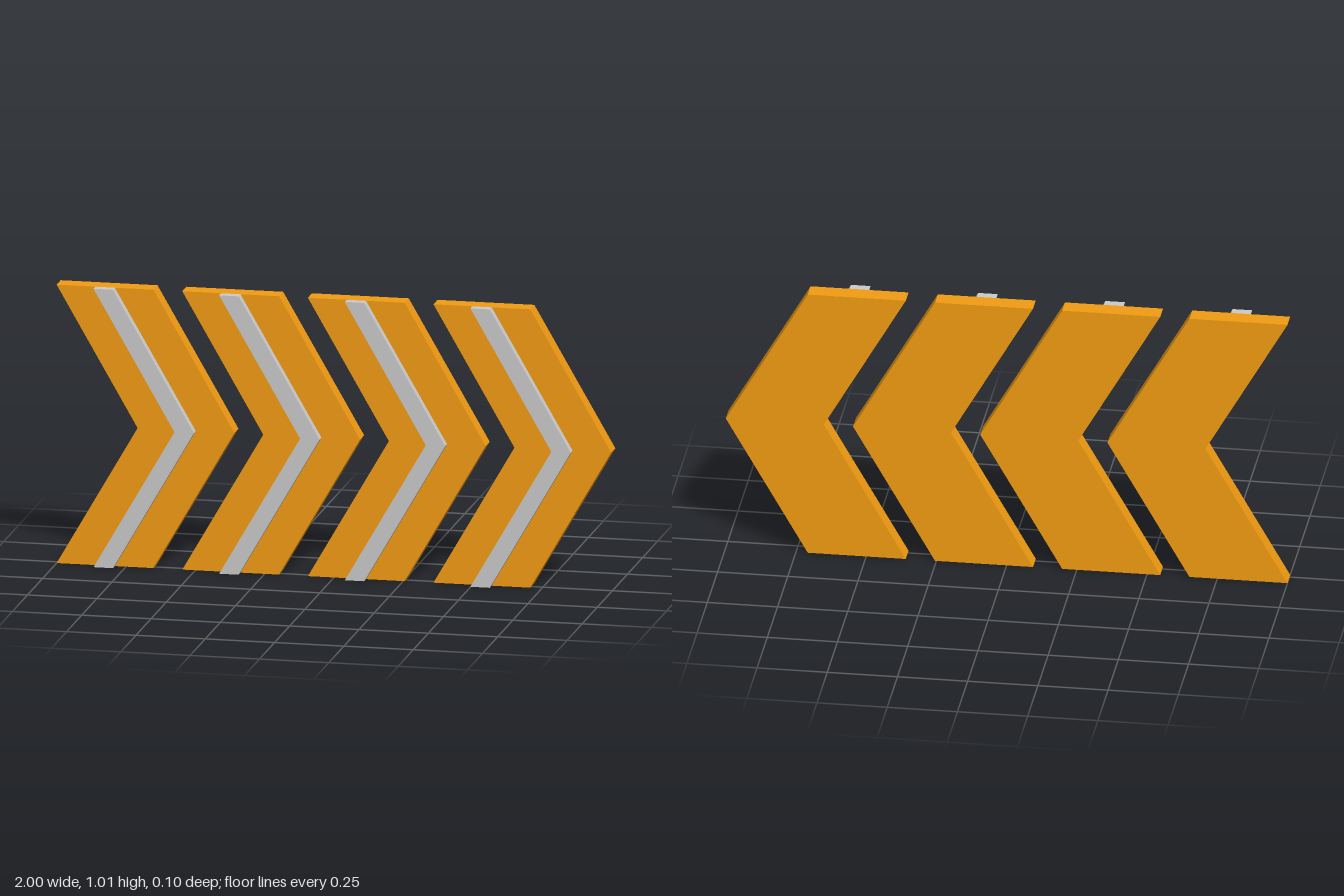
import * as THREE from 'three';

const HEIGHT = 1.01, TIP = 0.292, PITCH = 0.453, COUNT = 4;
const PANEL_WIDTH = 0.349, STRIPE_WIDTH = 0.07, STRIPE_OFFSET = 0.14;

// Right-pointing chevron, extruded from z = back to z = front
function chevron(name, width, back, front, material) {
  const shape = new THREE.Shape([
    [0, 0], [width, 0], [width + TIP, HEIGHT / 2],
    [width, HEIGHT], [0, HEIGHT], [TIP, HEIGHT / 2],
  ].map(([x, y]) => new THREE.Vector2(x, y)));
  const geometry = new THREE.ExtrudeGeometry(shape, { depth: front - back, bevelEnabled: false });
  geometry.translate(0, 0, back);
  const mesh = new THREE.Mesh(geometry, material);
  mesh.name = name;
  return mesh;
}

export function createModel() {
  const group = new THREE.Group();
  group.name = 'chevronArrows';
  const orange = new THREE.MeshStandardMaterial({ color: 0xf39c12 });
  const grey = new THREE.MeshStandardMaterial({ color: 0xcccccc });

  for (let i = 0; i < COUNT; i++) {
    const arrow = new THREE.Group();
    arrow.name = `arrow${i + 1}`;
    arrow.position.x = -1 + i * PITCH;

    // Thick panel with a raised stripe on its front
    const panel = chevron('panel', PANEL_WIDTH, -0.05, 0.018, orange);
    const stripe = chevron('stripe', STRIPE_WIDTH, 0.018, 0.05, grey);
    stripe.position.x = STRIPE_OFFSET;
    arrow.add(panel, stripe);
    group.add(arrow);
  }
  return group;
}
